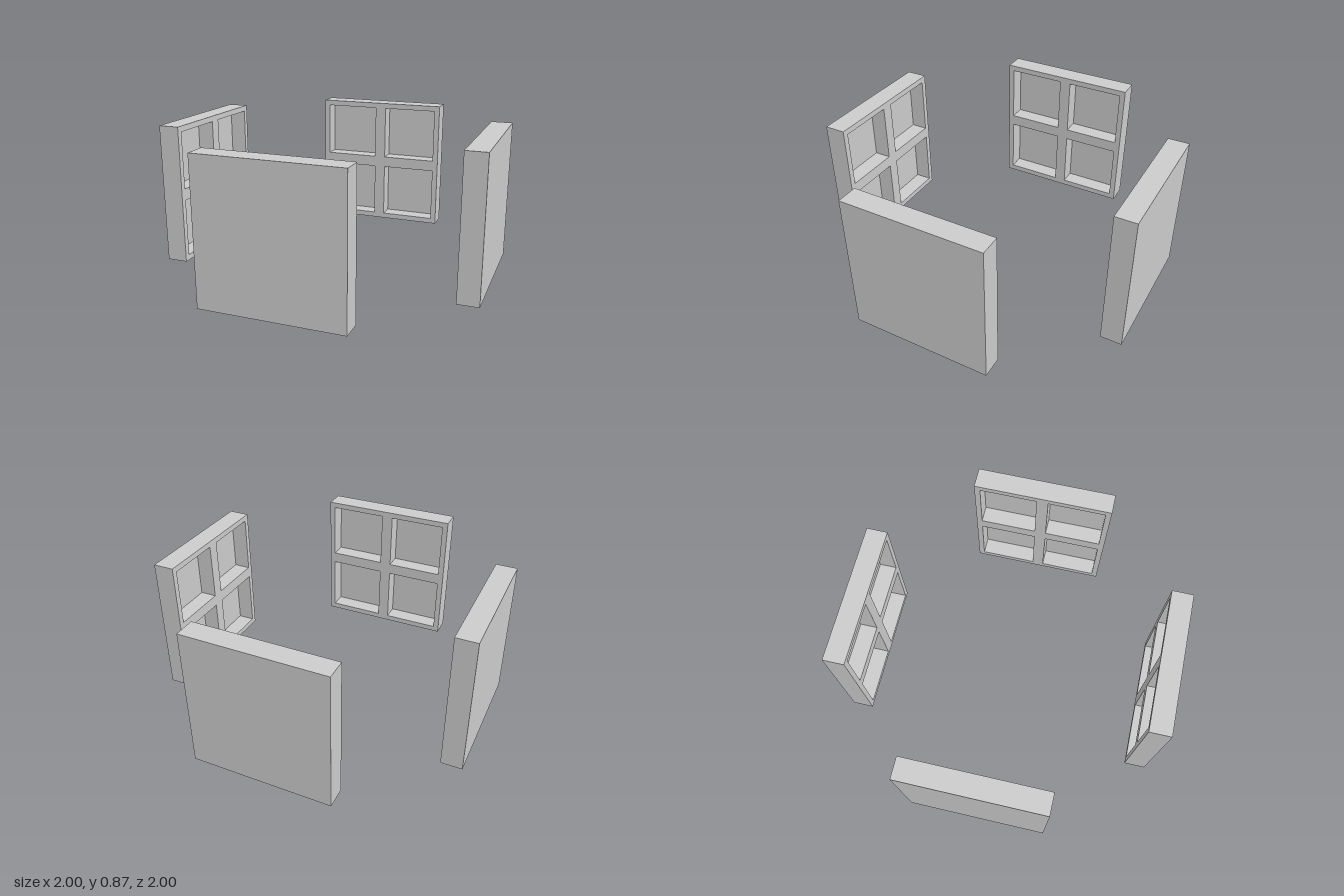
import * as THREE from 'three';

const SIZE = 0.872;     // panel width and height
const DEPTH = 0.131;    // full panel thickness
const PLATE = 0.024;    // solid outer plate
const BORDER = 0.036;   // rim of the inner frame
const BAR = 0.074;      // cross bars between the recesses

const material = new THREE.MeshStandardMaterial({ color: 0xcccccc, flatShading: true });

// Closed square outline, given its lower left corner
function trace(path, x, y, s) {
  path.moveTo(x, y);
  path.lineTo(x + s, y);
  path.lineTo(x + s, y + s);
  path.lineTo(x, y + s);
  path.closePath();
  return path;
}

// Window-like frame with a 2 x 2 set of recesses
function frameGeometry() {
  const shape = trace(new THREE.Shape(), -SIZE / 2, 0, SIZE);
  const cell = (SIZE - 2 * BORDER - BAR) / 2;
  for (let i = 0; i < 2; i++) {
    for (let j = 0; j < 2; j++) {
      const x = -SIZE / 2 + BORDER + i * (cell + BAR);
      const y = BORDER + j * (cell + BAR);
      shape.holes.push(trace(new THREE.Path(), x, y, cell));
    }
  }
  return new THREE.ExtrudeGeometry(shape, { depth: DEPTH - PLATE, bevelEnabled: false });
}

export function createModel() {
  const model = new THREE.Group();
  model.name = 'wallPanels';

  const frameGeo = frameGeometry().translate(0, 0, 1 - DEPTH);
  const plateGeo = new THREE.BoxGeometry(SIZE, SIZE, PLATE).translate(0, SIZE / 2, 1 - PLATE / 2);

  // Four panels around the centre, recesses facing inward
  ['front', 'left', 'back', 'right'].forEach((side, i) => {
    const panel = new THREE.Group();
    panel.name = side + 'Panel';
    const plate = new THREE.Mesh(plateGeo, material);
    plate.name = 'outerPlate';
    const frame = new THREE.Mesh(frameGeo, material);
    frame.name = 'innerFrame';
    panel.add(plate, frame);
    panel.rotation.y = i * Math.PI / 2;
    model.add(panel);
  });
  return model;
}
